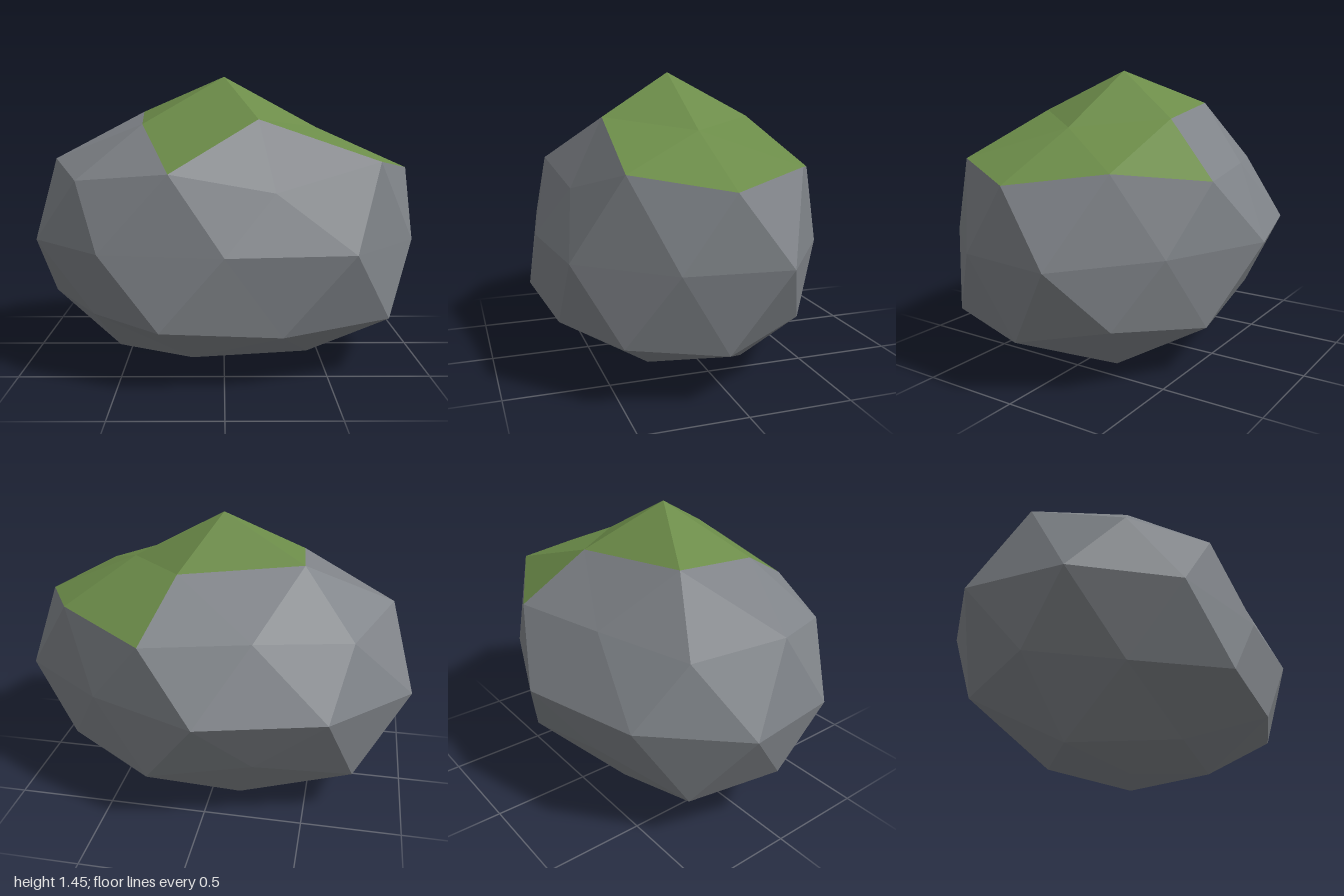
import * as THREE from 'three';

const stone = new THREE.MeshStandardMaterial({ name: 'grey stone', color: 0x7f8388, flatShading: true });
const moss = new THREE.MeshStandardMaterial({ name: 'green moss', color: 0x6c8c49, flatShading: true });

const CENTRE = new THREE.Vector3(0, 0.64, 0.05);

// A ring of corners on a stretched ball, each pushed in or out by its own factor.
function ring(radius, height, startDeg, factors, stretchY = 0.713) {
  return factors.map((k, i) => {
    const a = THREE.MathUtils.degToRad(startDeg + (360 / factors.length) * i);
    return new THREE.Vector3(
      radius * Math.cos(a) * k,
      height * stretchY * k,
      radius * Math.sin(a) * k * 0.78,
    ).add(CENTRE);
  });
}

// Flat-sided surface from triangles, every one turned to face outwards.
function facets(name, triangles, material) {
  const points = [];
  for (const [a, b, c] of triangles) {
    const normal = b.clone().sub(a).cross(c.clone().sub(a));
    const out = a.clone().add(b).add(c).divideScalar(3).sub(CENTRE);
    points.push(...(normal.dot(out) > 0 ? [a, b, c] : [a, c, b]));
  }
  const geometry = new THREE.BufferGeometry().setFromPoints(points);
  geometry.computeVertexNormals();
  const mesh = new THREE.Mesh(geometry, material);
  mesh.name = name;
  return mesh;
}

export function createModel() {
  // Corner rings from the peak down to the base
  const peak = new THREE.Vector3(0, 1.45, 0.05);
  const T = ring(0.526, 0.851, 0, [0.91, 0.99, 0.945, 1.035, 0.97]);
  const M = ring(0.851, 0.526, 36, [1.075, 0.965, 1.035, 0.905, 1.06]);
  const U = ring(0.894, 0.447, 0, [1.07, 0.85, 0.98, 0.97, 1.02]);
  const E = ring(1, 0, 18, [0.99, 1.02, 0.905, 0.985, 0.99, 1.05, 1.04, 1.05, 0.93, 1.048]);
  const L = ring(0.894, -0.447, 36, [1.095, 1.07, 1.005, 0.92, 1.0]);
  const N = ring(0.851, -0.526, 0, [1.055, 1.02, 0.93, 1.07, 1.035]);
  const B = ring(0.526, -0.851, 36, [0.99, 0.965, 1.07, 0.98, 1.03], 0.692);
  B[3].y = 0.035;
  const base = new THREE.Vector3(0, 0, 0.05);

  const grey = [], green = [];
  for (let i = 0; i < 5; i++) {
    const j = (i + 1) % 5;
    const e0 = E[2 * i], e1 = E[2 * i + 1], before = E[(2 * i + 9) % 10];

    // Cap: the peak is all moss, which runs further down on some sides
    green.push([peak, T[i], T[j]]);
    (i === 0 || i === 1 || i === 4 ? green : grey).push([T[i], M[i], T[j]]);
    (i === 0 || i === 4 ? green : grey).push([T[i], U[i], M[i]]);
    (i === 4 ? green : grey).push([T[j], M[i], U[j]]);

    // Upper and lower sides meeting at the waist
    grey.push(
      [U[i], before, e0], [U[i], e0, M[i]], [M[i], e0, e1], [M[i], e1, U[j]],
      [N[i], before, e0], [N[i], e0, L[i]], [L[i], e0, e1], [L[i], e1, N[j]],
    );

    // Underside
    grey.push(
      [B[i], L[i], N[i]], [B[i], L[i], N[j]], [B[i], N[j], B[j]], [base, B[i], B[j]],
    );
  }

  const group = new THREE.Group();
  group.name = 'mossyBoulder';
  group.add(facets('boulder', grey, stone), facets('mossCap', green, moss));
  return group;
}
